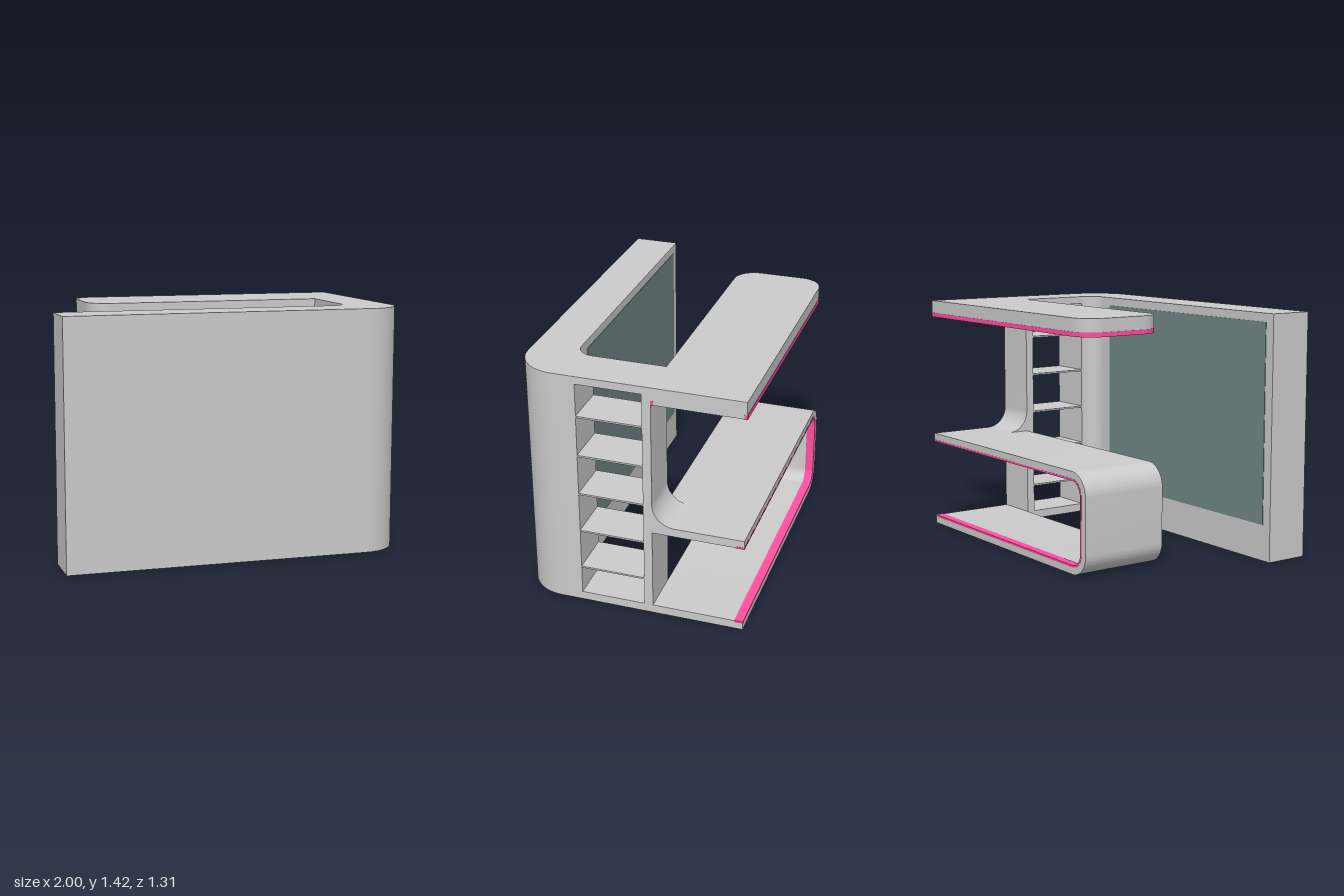
import * as THREE from 'three';
import { toCreasedNormals } from 'three/addons/utils/BufferGeometryUtils.js';

const grey = new THREE.MeshStandardMaterial({ color: 0xcccccc });
const greyOpen = new THREE.MeshStandardMaterial({ color: 0xcccccc, side: THREE.DoubleSide });
const pink = new THREE.MeshStandardMaterial({ color: 0xff4fa0 });
const glass = new THREE.MeshStandardMaterial({ color: 0x718885 });
const H = 1.42, Q = Math.PI / 2;

const extrude = (shape, depth) =>
  new THREE.ExtrudeGeometry(shape, { depth, bevelEnabled: false, curveSegments: 14 });

// Leaves out the triangles lying on the floor, so the hollow part is open underneath
function openBelow(geo) {
  const p = geo.attributes.position.array, kept = [];
  for (let i = 0; i < p.length; i += 9) {
    if (Math.max(p[i + 1], p[i + 4], p[i + 7]) > 1e-4) kept.push(...p.slice(i, i + 9));
  }
  return new THREE.BufferGeometry()
    .setAttribute('position', new THREE.Float32BufferAttribute(kept, 3));
}

// Slab outline with rounded left corners; with a thickness t, a U-shaped band open toward +x
function slab(right, left, lo, hi, r, t) {
  const s = new THREE.Shape();
  s.moveTo(right, t ? hi - t : lo);
  s.lineTo(right, hi);
  s.absarc(left + r, hi - r, r, Q, 2 * Q);
  s.absarc(left + r, lo + r, r, 2 * Q, 3 * Q);
  s.lineTo(right, lo);
  if (t) {
    s.lineTo(right, lo + t);
    s.absarc(left + r, lo + r, r - t, 3 * Q, 2 * Q, true);
    s.absarc(left + r, hi - r, r - t, 2 * Q, Q, true);
  }
  s.closePath();
  return s;
}

export function createModel() {
  const group = new THREE.Group();
  const add = (name, geo, mat = grey) => {
    const mesh = new THREE.Mesh(toCreasedNormals(geo, 0.6), mat);
    mesh.name = name;
    group.add(mesh);
  };
  const box = (name, x0, x1, y0, y1, z0, z1, mat) =>
    add(name, new THREE.BoxGeometry(x1 - x0, y1 - y0, z1 - z0)
      .translate((x0 + x1) / 2, (y0 + y1) / 2, (z0 + z1) / 2), mat);

  // Front panel with rounded corner (plan in x, -z)
  const plan = new THREE.Shape();
  plan.moveTo(-1, -0.395);
  plan.lineTo(-1, -0.655);
  plan.absarc(0.77, -0.425, 0.23, -Q, 0);
  plan.lineTo(1, -0.295);
  plan.absarc(0.635, -0.295, 0.1, 0, -Q, true);
  plan.closePath();
  add('frontPanel', openBelow(extrude(plan, H).rotateX(-Q)), greyOpen);

  // Side frame: sill, rear post with fillet, header (profile in -z, y)
  const side = new THREE.Shape();
  side.moveTo(-0.295, 0);
  side.lineTo(0.13, 0);
  side.lineTo(0.13, 0.58);
  side.lineTo(0.26, 0.58);
  side.absarc(0.26, 0.71, 0.13, 3 * Q, 2 * Q, true);
  side.lineTo(0.13, H);
  side.lineTo(-0.295, H);
  side.lineTo(-0.295, 1.375);
  side.lineTo(0.08, 1.375);
  side.lineTo(0.08, 0.05);
  side.lineTo(-0.295, 0.05);
  side.closePath();
  add('sideFrame', openBelow(extrude(side, 0.265).rotateY(Q).translate(0.735, 0, 0)), greyOpen);

  // Thin shelves in the side opening
  for (let i = 0; i < 5; i++) {
    const y = 0.219 + i * 0.24;
    box('sideShelf', 0.735, 1, y - 0.005, y + 0.005, -0.08, 0.295);
  }

  // Top counter with its light strip round the lower edge
  add('topCounter', extrude(slab(1, -0.68, 0.13, 0.655, 0.13), 0.1)
    .rotateX(-Q).translate(0, 1.32, 0));
  add('counterLightStrip', extrude(slab(1.001, -0.682, 0.128, 0.657, 0.132, 0.017), 0.026)
    .rotateX(-Q).translate(0, 1.319, 0), pink);

  // Lower desk loop with its light strip along the rear inner edge
  add('deskLoop', openBelow(extrude(slab(1, -0.68, 0, 0.58, 0.13, 0.05), 0.525)
    .translate(0, 0, -0.655)), greyOpen);
  add('deskLightStrip', extrude(slab(1.001, -0.64, 0.04, 0.54, 0.09, 0.012), 0.051)
    .translate(0, 0, -0.656), pink);

  // Tinted panel on the inside of the front
  box('innerPanel', -0.94, 0.56, 0.21, 1.37, 0.392, 0.4, glass);

  return group;
}
